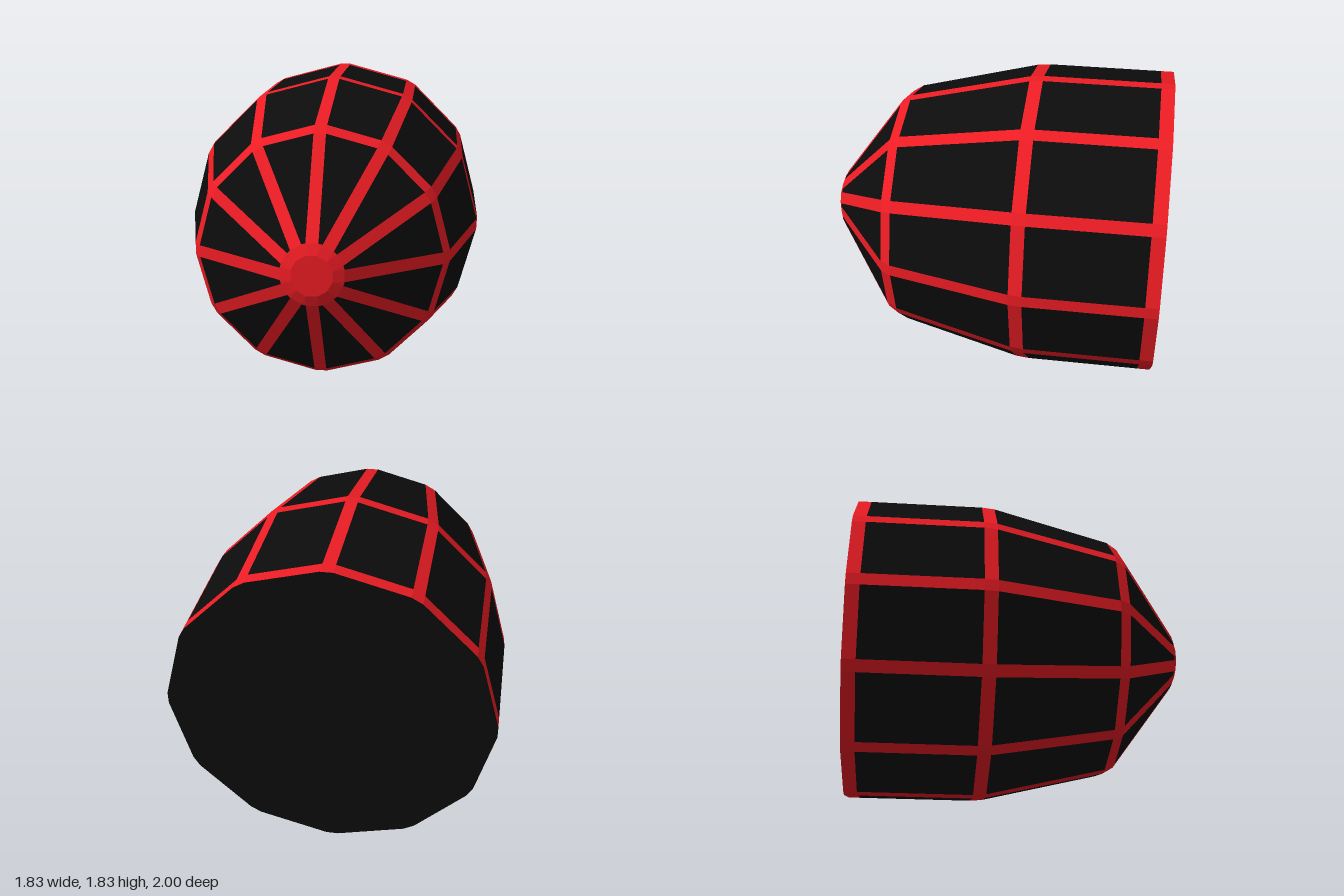
import * as THREE from 'three';

const SIDES = 12;
const HALF = 0.035; // half width of a spar
const CENTRE_Y = 0.916;

// Stations from back to front: distance of the spar face from the axis, z
const STATIONS = [
  [0.916, -1], [0.916, -0.922], [0.916, -0.25], [0.909, -0.172],
  [0.737, 0.535], [0.698, 0.597], [0.175, 0.975], [0.113, 1],
];

// Corner of the section at a station: side -1 or +1 edge of spar k
function corner(station, k, side) {
  const [r, z] = STATIONS[station];
  const a = (k / SIDES) * Math.PI * 2;
  const w = side * Math.min(HALF, r * Math.tan(Math.PI / SIDES));
  return [r * Math.cos(a) - w * Math.sin(a), r * Math.sin(a) + w * Math.cos(a), z];
}

// Flat-shaded mesh from a list of triangle corners
function facetMesh(name, points, material) {
  const geometry = new THREE.BufferGeometry();
  geometry.setAttribute('position', new THREE.Float32BufferAttribute(points.flat(), 3));
  geometry.computeVertexNormals();
  const mesh = new THREE.Mesh(geometry, material);
  mesh.name = name;
  return mesh;
}

function quad(a, b, c, d) {
  return [a, b, c, a, c, d];
}

// Facets of one spar or of the pane beside it, between two stations
function sparFacet(i, k) {
  return quad(corner(i, k, -1), corner(i, k, 1), corner(i + 1, k, 1), corner(i + 1, k, -1));
}
function paneFacet(i, k) {
  return quad(corner(i, k, 1), corner(i, k + 1, -1), corner(i + 1, k + 1, -1), corner(i + 1, k, 1));
}

// Fan closing the shell at a station
function endCap(station, facesFront) {
  const points = [];
  const centre = [0, 0, STATIONS[station][1]];
  for (let k = 0; k < SIDES; k++) {
    const edge = [corner(station, k, -1), corner(station, k, 1), corner(station, k + 1, -1)];
    for (let j = 0; j < 2; j++) {
      points.push(centre, ...(facesFront ? [edge[j], edge[j + 1]] : [edge[j + 1], edge[j]]));
    }
  }
  return points;
}

export function createModel() {
  const red = new THREE.MeshStandardMaterial({ color: 0xed1c24, flatShading: true });
  const black = new THREE.MeshStandardMaterial({ color: 0x0c0c0c, flatShading: true });
  const model = new THREE.Group();
  model.name = 'framedCanopy';
  const body = new THREE.Group();
  body.name = 'canopy';
  body.position.y = CENTRE_Y;
  model.add(body);

  // Red hoops around the shell; the last one rounds the nose
  const hoops = { backHoop: 0, middleHoop: 2, frontHoop: 4, noseRim: 6 };
  for (const [name, i] of Object.entries(hoops)) {
    const points = [];
    for (let k = 0; k < SIDES; k++) points.push(...sparFacet(i, k), ...paneFacet(i, k));
    body.add(facetMesh(name, points, red));
  }

  // Red spars and black panes between the hoops
  const bays = { rear: 1, middle: 3, front: 5 };
  for (const [name, i] of Object.entries(bays)) {
    const spars = [];
    const panes = [];
    for (let k = 0; k < SIDES; k++) {
      spars.push(...sparFacet(i, k));
      panes.push(...paneFacet(i, k));
    }
    body.add(facetMesh(name + 'Spars', spars, red), facetMesh(name + 'Panes', panes, black));
  }

  // Ends
  body.add(facetMesh('noseDisc', endCap(7, true), red));
  body.add(facetMesh('backWall', endCap(0, false), black));
  return model;
}
